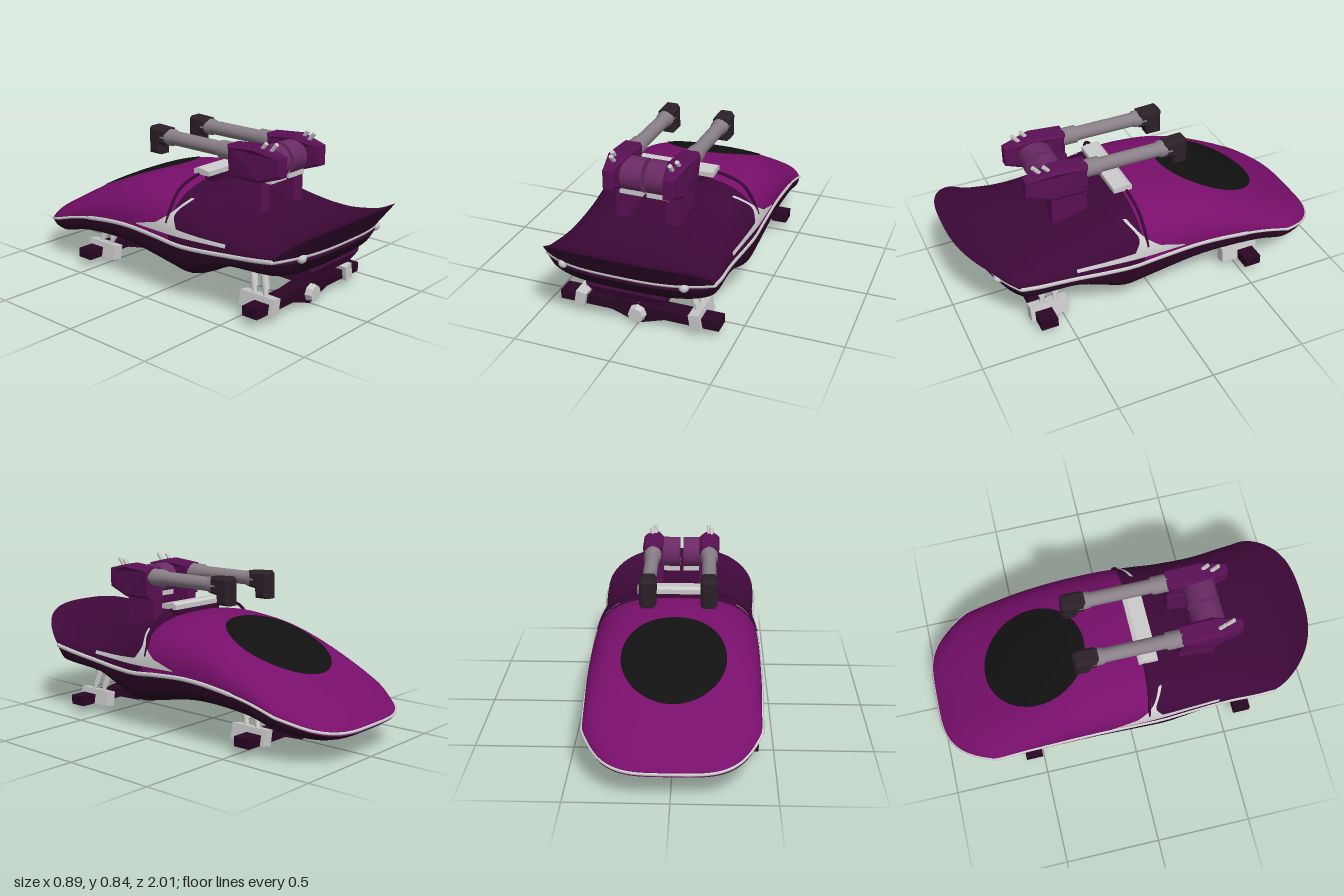
import * as THREE from 'three';

const PURPLE = 0x3d0838, BRIGHT = 0x780f6b, DARK = 0x2a0624, GREY = 0xcccccc;
const mat = (color, flat = false) =>
  new THREE.MeshStandardMaterial({ color, flatShading: flat, side: THREE.DoubleSide });

function add(parent, name, geo, color, pos = [0, 0, 0], rot = [0, 0, 0], flat = false) {
  const m = new THREE.Mesh(geo, mat(color, flat));
  m.name = name;
  m.position.set(...pos);
  m.rotation.set(...rot);
  parent.add(m);
  return m;
}

// Smooth interpolation through a short table of [z, value], z descending
function curve(tab) {
  const slope = i => {
    const a = tab[Math.max(i - 1, 0)], b = tab[Math.min(i + 1, tab.length - 1)];
    return (b[1] - a[1]) / (b[0] - a[0]);
  };
  return z => {
    z = Math.min(tab[0][0], Math.max(tab[tab.length - 1][0], z));
    let i = 0;
    while (i < tab.length - 2 && z < tab[i + 1][0]) i++;
    const [z0, y0] = tab[i], [z1, y1] = tab[i + 1], d = z1 - z0, t = (z - z0) / d;
    const t2 = t * t, t3 = t2 * t;
    return (2 * t3 - 3 * t2 + 1) * y0 + (t3 - 2 * t2 + t) * d * slope(i)
      + (3 * t2 - 2 * t3) * y1 + (t3 - t2) * d * slope(i + 1);
  };
}

const seamY = curve([[.87, .385], [.7, .355], [.5, .325], [.2, .3], [0, .315], [-.2, .325],
  [-.4, .31], [-.6, .275], [-.8, .215], [-.9, .18], [-1, .155]]);
const topY = curve([[1, .55], [.9, .5], [.8, .475], [.66, .46], [.5, .477], [.3, .525], [.2, .56],
  [.1, .58], [0, .59], [-.1, .585], [-.3, .55], [-.5, .47], [-.7, .365], [-.9, .25], [-.97, .2], [-1, .17]]);
const bottomY = curve([[.87, .36], [.82, .29], [.78, .27], [.6, .25], [.45, .235], [.35, .19], [.2, .12],
  [.1, .135], [0, .155], [-.2, .19], [-.4, .195], [-.6, .175], [-.8, .12], [-.9, .11], [-.97, .125], [-1, .145]]);
const halfW = curve([[1, .43], [.75, .43], [.5, .42], [.3, .425], [.1, .435], [-.4, .435], [-.6, .43], [-1, .425]]);
const N_TOP = 2.6, N_LOW = 4;

// Point of the hull at station s, sideways fraction q and height fraction v (negative below the seam)
function hullPoint(s, q, v) {
  const shear = .13 * Math.max(0, (s - .6) / .4), zs = s - shear;
  const a = Math.abs(q);
  const bow = zs > 0 ? -.12 * Math.max(0, (zs - .4) / .47) ** 2 * a ** 3
    : .25 * Math.max(0, (-zs - .4) / .6) ** 2 * a ** 4;
  const h = v > 0 ? topY(s) - seamY(zs) : seamY(zs) - bottomY(zs);
  return new THREE.Vector3(q * halfW(s), seamY(zs + bow) + h * v, zs + bow + shear * Math.max(v, 0));
}
function section(s, t, low) {
  const e = 2 / (low ? N_LOW : N_TOP), c = Math.cos(t * Math.PI), sn = Math.max(0, Math.sin(t * Math.PI));
  return hullPoint(s, Math.sign(c) * Math.abs(c) ** e, (low ? -1 : 1) * sn ** e);
}

// Surface from a rule f(u, v)
function grid(nu, nv, f) {
  const pos = [], idx = [];
  for (let i = 0; i <= nu; i++) for (let j = 0; j <= nv; j++) {
    const p = f(i / nu, j / nv);
    pos.push(p.x, p.y, p.z);
    if (i < nu && j < nv) {
      const a = i * (nv + 1) + j, b = a + nv + 1;
      idx.push(a, b, a + 1, b, b + 1, a + 1);
    }
  }
  const g = new THREE.BufferGeometry();
  g.setAttribute('position', new THREE.Float32BufferAttribute(pos, 3));
  g.setIndex(idx);
  g.computeVertexNormals();
  return g;
}

// Side profile of [z, y] points extruded across x, centred
function profile(pts, width, bevel = 0) {
  const shape = new THREE.Shape(pts.map(([z, y]) => new THREE.Vector2(-z, y)));
  const g = new THREE.ExtrudeGeometry(shape, { depth: width - 2 * bevel, bevelEnabled: bevel > 0,
    bevelThickness: bevel, bevelSize: bevel, bevelOffset: -bevel, bevelSegments: 1 });
  return g.translate(0, 0, -(width - 2 * bevel) / 2).rotateY(Math.PI / 2);
}

function strut(parent, name, a, b, r, color = GREY) {
  const A = new THREE.Vector3(...a), d = new THREE.Vector3(...b).sub(A);
  const m = add(parent, name, new THREE.CylinderGeometry(r, r, d.length(), 8), color);
  m.position.copy(A).addScaledVector(d, .5);
  m.quaternion.setFromUnitVectors(new THREE.Vector3(0, 1, 0), d.normalize());
}

function buildHull(g) {
  const span = (a, b) => u => a + (b - a) * u;
  const shell = (name, a, b, low, color) =>
    add(g, name, grid(60, 48, (u, t) => section(span(a, b)(u), t, low)), color);
  shell('frontHood', 1, .1, false, PURPLE);
  shell('rearCanopy', .1, -1, false, BRIGHT);
  shell('underside', 1, -1, true, DARK);
  // Closed ends between the arcs and the seam
  for (const [name, s] of [['nose', 1], ['tail', -1]]) for (const low of [false, true])
    add(g, name + (low ? 'Lower' : 'Face'), grid(6, 48, (u, t) => {
      const p = section(s, t, low);
      return p.lerp(hullPoint(s, p.x / halfW(s), 0), u);
    }), s > 0 ? PURPLE : BRIGHT);
  // Dark patch on the canopy
  add(g, 'canopyPatch', grid(12, 40, (r, a) => {
    const s = -.44 + .27 * r * Math.cos(a * 2 * Math.PI), x = .26 * r * Math.sin(a * 2 * Math.PI);
    const q = x / halfW(s), p = hullPoint(s, q, (1 - Math.abs(q) ** N_TOP) ** (1 / N_TOP));
    p.y += .004;
    return p;
  }), 0x111111);
  // Trim running round the seam
  const rim = u => {
    const k = u * 4;
    if (k < 1.5) return hullPoint(1 - 2 * k / 1.5, 1, 0);
    if (k < 2) return hullPoint(-1, 1 - 4 * (k - 1.5), 0);
    if (k < 3.5) return hullPoint(-1 + 2 * (k - 2) / 1.5, -1, 0);
    return hullPoint(1, -1 + 4 * (k - 3.5), 0);
  };
  add(g, 'seamTrim', grid(240, 4, (u, t) => {
    const p = rim(u), a = rim((u + .997) % 1), b = rim((u + .003) % 1);
    const out = new THREE.Vector3(a.z - b.z, 0, b.x - a.x).normalize();
    const tall = p.z > -.5 ? .014 : .009, th = (t - .5) * Math.PI;
    p.addScaledVector(out, -.008 + .017 * Math.cos(th));
    p.y += tall * Math.sin(th) + .003;
    return p;
  }), GREY);
  // Swept side accents lying on the hull
  const onSide = (z, y, side) => {
    const v = Math.min(.999, Math.max(0, (y - seamY(z)) / (topY(z) - seamY(z))));
    return new THREE.Vector3(side * (halfW(z) * (1 - v ** N_TOP) ** (1 / N_TOP) + .005), y, z);
  };
  const bandLow = curve([[.46, .36], [.2, .35], [-.12, .355]]);
  const bandHigh = curve([[.46, .378], [.3, .376], [.15, .385], [.05, .40], [-.12, .36]]);
  const spurBack = curve([[.52, .15], [.45, .09], [.385, 0]]);
  const spurFront = curve([[.52, .168], [.45, .12], [.385, .15]]);
  for (const side of [1, -1]) {
    add(g, 'sideAccent', grid(24, 4, (u, t) => {
      const z = .46 - .58 * u;
      return onSide(z, bandLow(z) + (bandHigh(z) - bandLow(z)) * t, side);
    }), GREY);
    add(g, 'sideAccentSpur', grid(16, 4, (u, t) => {
      const y = .52 - .135 * u;
      return onSide(spurBack(y) + (spurFront(y) - spurBack(y)) * t, y, side);
    }), GREY);
    for (const x of [.235, .305])
      add(g, 'headlight', new THREE.SphereGeometry(.025, 16, 10), GREY, [side * x, .372, .825]);
  }
  // Roof bar and the arch below it
  add(g, 'roofBar', profile([[.17, .61], [.17, .635], [.09, .645], [.07, .635], [.07, .61]], .42), GREY);
  add(g, 'roofBarFoot', new THREE.BoxGeometry(.3, .06, .06), PURPLE, [0, .59, .12]);
  const arch = [[-.425, .4], [-.4, .47], [-.34, .56], [-.2, .612], [0, .615], [.2, .612], [.34, .56], [.4, .47], [.425, .4]];
  add(g, 'roofArch', new THREE.TubeGeometry(new THREE.CatmullRomCurve3(
    arch.map(([x, y]) => new THREE.Vector3(x, y, .1 - .4 * Math.max(0, Math.abs(x) - .2) ** 2))), 60, .008, 6), PURPLE);
  // Chin block, tapering downwards
  const chin = profile([[.8, .34], [.8, .26], [.76, .2], [.72, .18], [.36, .18], [.34, .34]], .44);
  const p = chin.attributes.position;
  for (let i = 0; i < p.count; i++)
    if (p.getY(i) < .3) p.setX(i, p.getX(i) * (.78 + (p.getY(i) - .18) * 1.6));
  chin.computeVertexNormals();
  add(g, 'chinBlock', chin, 0x4f0d49, [0, 0, 0], [0, 0, 0], true);
}

function buildGun(side) {
  const g = new THREE.Group();
  g.name = side > 0 ? 'leftGun' : 'rightGun';
  const x = side * .153;
  add(g, 'gunPylon', profile([[.48, .45], [.48, .68], [.29, .68], [.29, .45]], .07), 0x5a1054, [side * .132, 0, 0]);
  // Faceted head that narrows to the front
  const head = profile([[.61, .78], [.61, .68], [.48, .635], [.29, .635], [.29, .8], [.46, .815]], .11, .015);
  const p = head.attributes.position;
  for (let i = 0; i < p.count; i++) {
    const z = p.getZ(i), low = p.getY(i) < .67 ? .75 : 1;
    p.setX(i, p.getX(i) * low * (z > .5 ? .5 : 1));
  }
  head.computeVertexNormals();
  add(g, 'gunHead', head, 0x5a1054, [x, 0, 0], [0, 0, 0], true);
  add(g, 'gunDrum', new THREE.CylinderGeometry(.085, .085, .12, 24), 0x6a2a64, [side * .07, .712, .455], [0, 0, Math.PI / 2]);
  add(g, 'drumCradle', new THREE.BoxGeometry(.12, .04, .12), GREY, [side * .07, .645, .455]);
  for (const [dx, z] of [[.012, .49], [-.004, .54]])
    strut(g, 'headStud', [x + side * dx, .775, z - .03], [x + side * dx, .835, z + .02], .011);
  // Barrel with collars and a drooping muzzle
  const barrel = [[.046, .31], [.046, .22], [.037, .21], [.037, -.1], [.044, -.11], [.044, -.17]];
  add(g, 'barrel', new THREE.LatheGeometry(barrel.map(([r, z]) => new THREE.Vector2(r, z)), 16), 0x8a8088,
    [x, .755, 0], [Math.PI / 2, 0, 0]);
  add(g, 'muzzle', profile([[-.13, .8], [-.13, .715], [-.17, .71], [-.175, .66], [-.255, .66], [-.255, .79], [-.24, .805]], .086, .015),
    0x2c2029, [x, 0, 0], [0, 0, 0], true);
  return g;
}

function buildSkid(end) {
  const g = new THREE.Group();
  g.name = end > 0 ? 'frontSkid' : 'rearSkid';
  const z0 = end > 0 ? .58 : -.515, zb = z0 + end * .035;
  const top = end > 0 ? .275 : .235;
  // Cross bar with a diamond hub
  const half = [[-.42, .05], [-.14, .05], [0, .003], [.14, .05], [.42, .05], [.42, .1], [.14, .1], [.05, .112], [-.05, .112], [-.14, .1], [-.42, .1]];
  const bar = new THREE.ExtrudeGeometry(new THREE.Shape(half.map(q => new THREE.Vector2(...q))), { depth: .09, bevelEnabled: false });
  add(g, 'crossBar', bar, DARK, [0, 0, zb - .045]);
  add(g, 'hubKnob', new THREE.CylinderGeometry(.04, .05, .05, 8), GREY, [0, .063, zb + end * .055], [end * Math.PI / 2, 0, 0], true);
  for (const side of [1, -1]) {
    add(g, 'foot', new THREE.BoxGeometry(.055, .08, .205), GREY, [side * .303, .085, z0], [0, 0, side * .18]);
    for (const dz of [.035, -.035]) {
      const zl = z0 + end * dz;
      strut(g, 'piston', [side * .295, .11, zl], [side * .258, top, zl - end * .045], .013);
      strut(g, 'pistonSleeve', [side * .283, .15, zl - end * .01], [side * .27, .22, zl - end * .03], .02);
    }
  }
  return g;
}

export function createModel() {
  const model = new THREE.Group();
  model.name = 'hoverCraft';
  const hull = new THREE.Group();
  hull.name = 'hull';
  buildHull(hull);
  const guns = new THREE.Group();
  guns.name = 'gunMount';
  guns.position.x = -.015;
  guns.add(buildGun(1), buildGun(-1));
  model.add(hull, guns, buildSkid(1), buildSkid(-1));
  return model;
}
